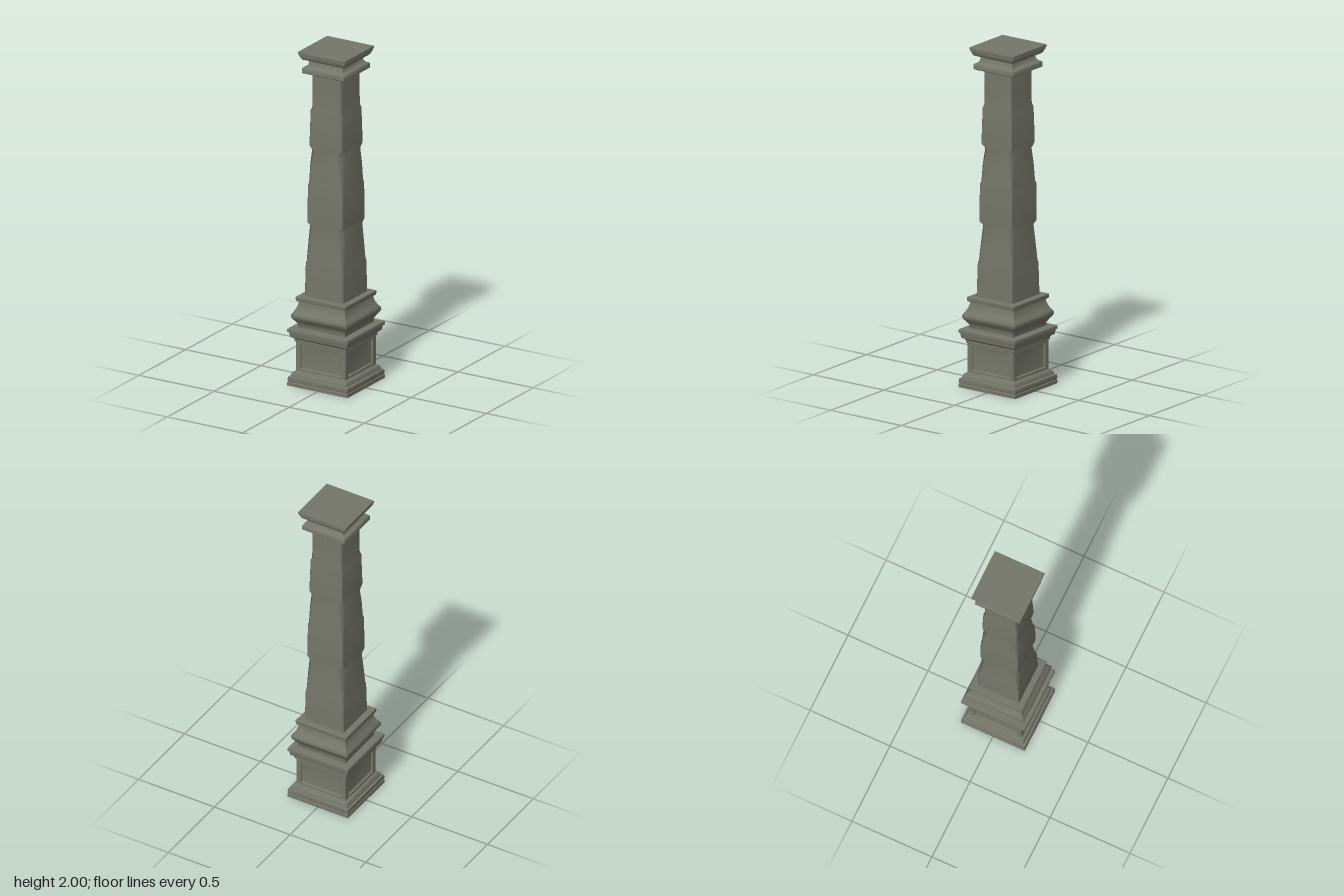
import * as THREE from 'three';
import { toCreasedNormals } from 'three/addons/utils/BufferGeometryUtils.js';

const stone = new THREE.MeshStandardMaterial({ color: 0x75766a, roughness: 0.9 });

// Skin a stack of equal-length point rings, optionally closing each end.
function loft(rings, capStart = true, capEnd = true) {
  const n = rings[0].length, last = (rings.length - 1) * n, index = [];
  for (let r = 0; r < rings.length - 1; r++) {
    for (let i = 0; i < n; i++) {
      const a = r * n + i, b = r * n + (i + 1) % n;
      index.push(a, b, b + n, a, b + n, a + n);
    }
  }
  for (let i = 1; i < n - 1; i++) {
    if (capStart) index.push(0, i + 1, i);
    if (capEnd) index.push(last, last + i, last + i + 1);
  }
  const g = new THREE.BufferGeometry();
  g.setAttribute('position', new THREE.Float32BufferAttribute(rings.flat(2), 3));
  g.setIndex(index);
  g.computeVertexNormals();
  return g;
}

const squareRing = (h, y) => [[h, y, h], [h, y, -h], [-h, y, -h], [-h, y, h]];

// Square moulding swept from [half width, height] pairs.
function moulding(name, profile) {
  const g = loft(profile.map(([h, y]) => squareRing(h, y)));
  const mesh = new THREE.Mesh(toCreasedNormals(g, 0.6), stone);
  mesh.name = name;
  return mesh;
}

// Square ring with each corner cut back by its own amount.
function chippedRing(h, y, cuts) {
  const [a, b, c, d] = cuts;
  return [
    [h, y, h - a], [h, y, -h + b], [h - b, y, -h], [-h + c, y, -h],
    [-h, y, -h + c], [-h, y, h - d], [-h + d, y, h], [h - a, y, h],
  ];
}

// Tapered shaft, with worn corners under a ledge in each course.
function shaft() {
  // height, half width, corner cut
  const levels = [
    [0.52, 0.13, 0.008], [0.62, 0.1285, 0.01], [0.72, 0.127, 0.012], [0.74, 0.124, 0.016],
    [0.84, 0.121, 0.028], [0.95, 0.117, 0.042], [0.97, 0.12, 0.012], [1.08, 0.119, 0.01],
    [1.19, 0.118, 0.012], [1.205, 0.115, 0.018], [1.31, 0.113, 0.028], [1.40, 0.109, 0.042],
    [1.43, 0.112, 0.012], [1.54, 0.109, 0.01], [1.64, 0.107, 0.012], [1.66, 0.102, 0.018],
    [1.76, 0.1, 0.014], [1.88, 0.098, 0.008],
  ];
  const wear = [1, 0.6, 0.8, 0.7];
  const rings = levels.map(([y, h, cut]) => chippedRing(h, y, wear.map(w => cut * w)));
  const mesh = new THREE.Mesh(loft(rings, false, false), stone);
  mesh.name = 'shaft';
  return mesh;
}

// Pedestal face with a sunken panel, in local xy facing +z.
function panelFace() {
  const rect = (w, y0, y1, z) => [[-w, y0, z], [w, y0, z], [w, y1, z], [-w, y1, z]];
  const g = loft([
    rect(0.163, 0.08, 0.27, 0.163),
    rect(0.135, 0.1, 0.246, 0.163),
    rect(0.13, 0.105, 0.241, 0.153),
    rect(0.113, 0.132, 0.22, 0.15),
  ], false, true);
  return toCreasedNormals(g, 0.5);
}

export function createModel() {
  const column = new THREE.Group();
  column.name = 'column';

  column.add(moulding('plinth', [
    [0.2, 0], [0.2, 0.02], [0.196, 0.024], [0.199, 0.036], [0.197, 0.052],
    [0.186, 0.056], [0.184, 0.068], [0.176, 0.08], [0.166, 0.084], [0.163, 0.09],
  ]));

  // Four panelled sides of the pedestal
  const pedestal = new THREE.Group();
  pedestal.name = 'pedestal';
  const face = panelFace();
  for (let i = 0; i < 4; i++) {
    const side = new THREE.Mesh(face, stone);
    side.name = 'pedestalPanel';
    side.rotation.y = i * Math.PI / 2;
    pedestal.add(side);
  }
  column.add(pedestal);

  column.add(moulding('pedestalCornice', [
    [0.163, 0.258], [0.17, 0.262], [0.17, 0.276], [0.176, 0.284], [0.188, 0.29],
    [0.19, 0.302], [0.193, 0.318], [0.2, 0.321], [0.2, 0.338], [0.197, 0.342], [0.156, 0.344],
  ]));

  column.add(moulding('shaftBase', [
    [0.156, 0.34], [0.156, 0.366], [0.168, 0.384], [0.18, 0.4], [0.186, 0.413], [0.184, 0.428],
    [0.172, 0.444], [0.161, 0.465], [0.154, 0.488], [0.153, 0.5],
    [0.163, 0.504], [0.166, 0.516], [0.166, 0.528], [0.162, 0.531],
  ]));

  column.add(shaft());

  column.add(moulding('capitalCollar', [
    [0.136, 1.868], [0.14, 1.872], [0.14, 1.896], [0.136, 1.902], [0.122, 1.908],
    [0.113, 1.92], [0.109, 1.945],
  ]));
  column.add(moulding('capitalTop', [
    [0.109, 1.94], [0.128, 1.946], [0.138, 1.95], [0.145, 1.96], [0.147, 1.97],
    [0.152, 1.973], [0.152, 1.982], [0.156, 1.985], [0.156, 1.998], [0.154, 2],
  ]));

  return column;
}
